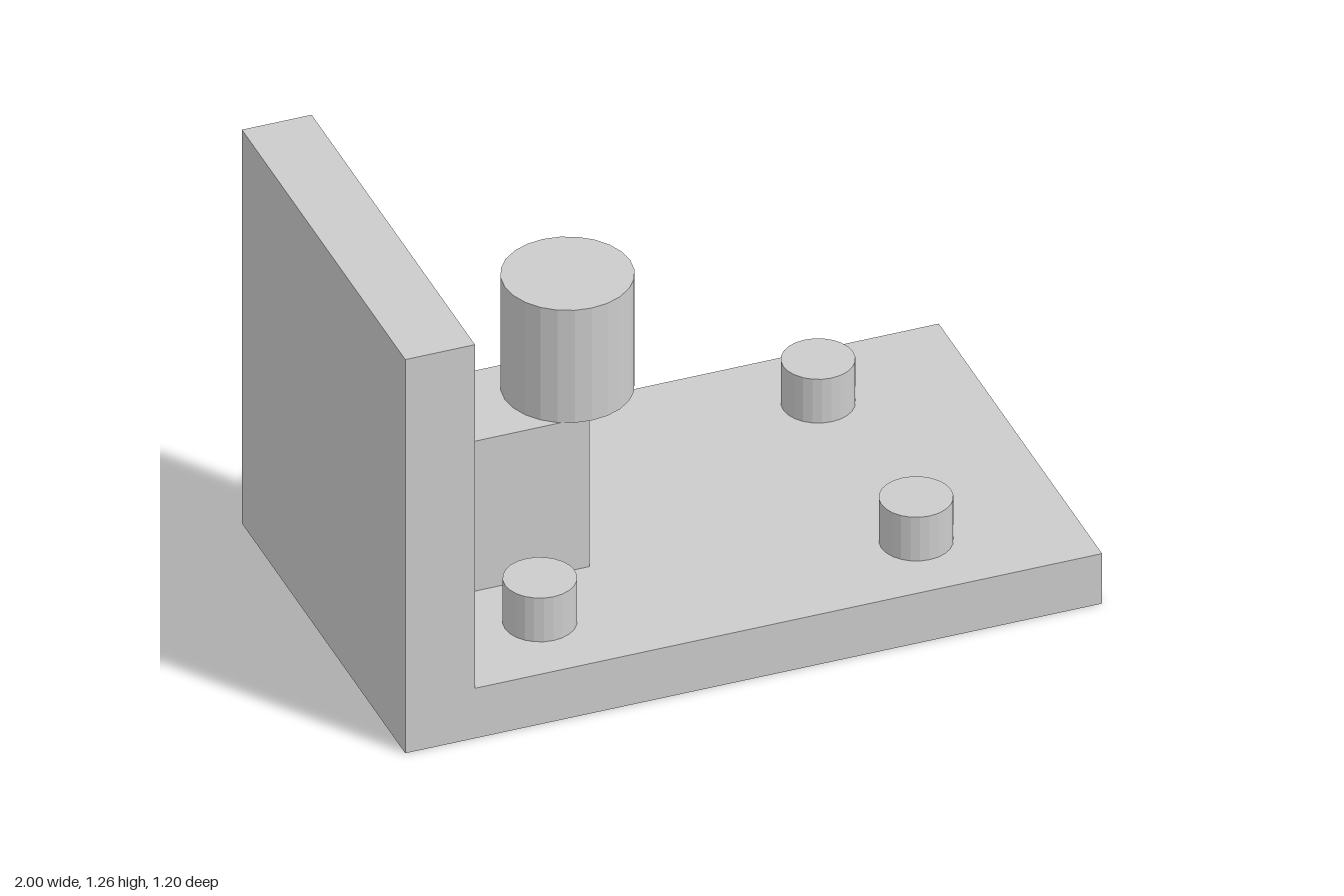
import * as THREE from 'three';

const material = new THREE.MeshStandardMaterial({ color: 0xcccccc, flatShading: true });

export function createModel() {
  const model = new THREE.Group();
  model.name = 'bracket';

  const add = (name, geometry, x, y, z) => {
    const mesh = new THREE.Mesh(geometry, material);
    mesh.name = name;
    mesh.position.set(x, y, z);
    model.add(mesh);
  };

  // Box given by its x and y ranges and its depth, centred on z = 0
  const box = (name, x0, x1, y0, y1, depth) =>
    add(name, new THREE.BoxGeometry(x1 - x0, y1 - y0, depth), (x0 + x1) / 2, (y0 + y1) / 2, 0);

  // Upright cylinder standing on y0
  const post = (name, radius, x, y0, y1, z) =>
    add(name, new THREE.CylinderGeometry(radius, radius, y1 - y0, 24), x, (y0 + y1) / 2, z);

  // L-shaped body: base plate and upright wall
  box('basePlate', -1, 1, 0, 0.16, 1.2);
  box('uprightWall', -1, -0.8, 0.16, 1.26, 1.2);

  // Support block against the wall, with the large boss overhanging its end
  box('supportBlock', -0.8, -0.3, 0.16, 0.64, 0.32);
  post('boss', 0.18, -0.3, 0.64, 1, 0);

  // Four pegs on the base plate
  for (const [end, x] of [['inner', -0.52], ['outer', 0.56]]) {
    for (const [side, z] of [['Front', 0.36], ['Back', -0.36]]) {
      post(`${end}${side}Peg`, 0.1, x, 0.16, 0.3, z);
    }
  }

  return model;
}
